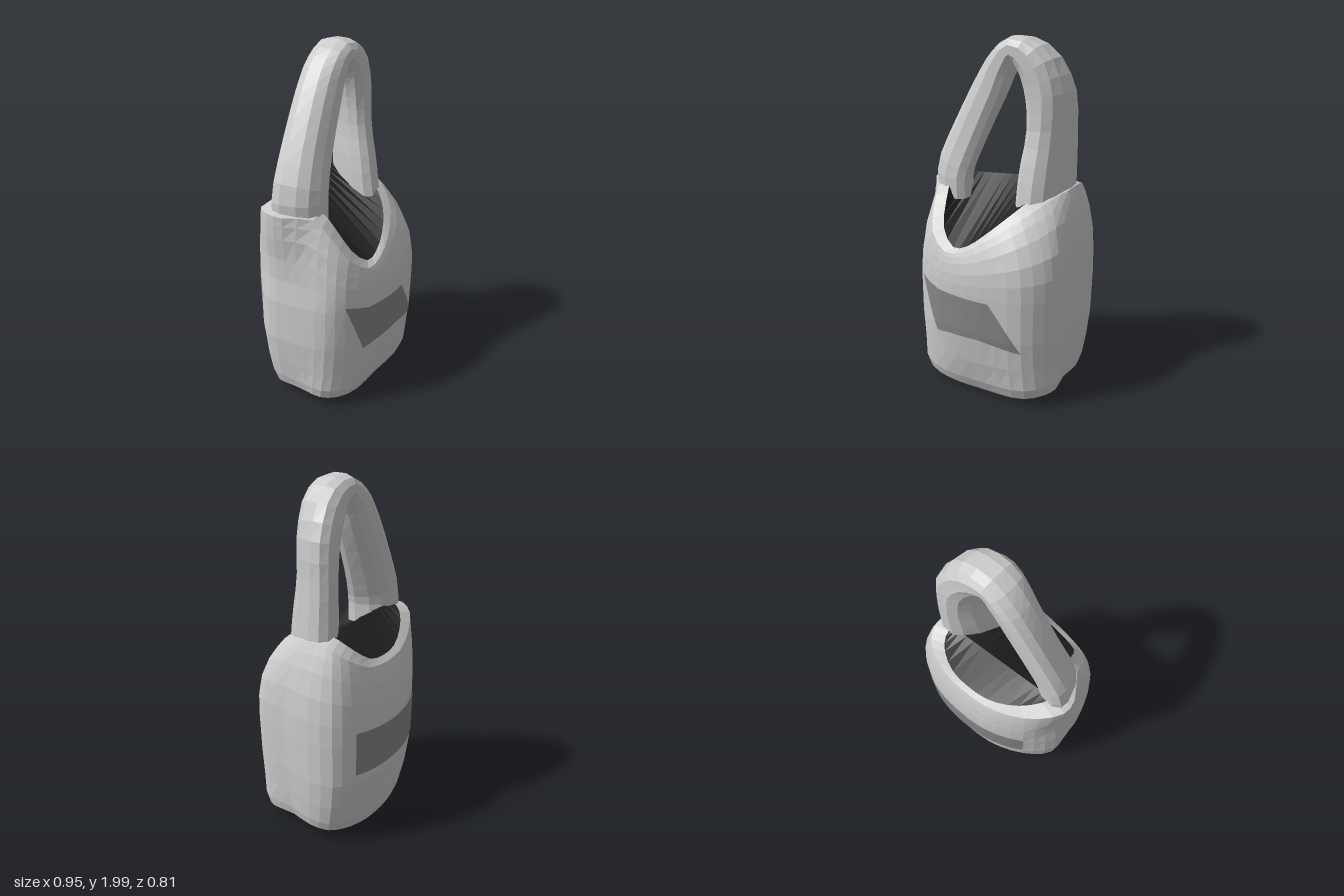
import * as THREE from 'three';

const { lerp, clamp } = THREE.MathUtils;
const V = (x, y, z) => new THREE.Vector3(x, y, z);

function makeMesh(name, points, index, color = 0xcccccc, side = THREE.FrontSide) {
  const geo = new THREE.BufferGeometry().setFromPoints(points);
  geo.setIndex(index);
  geo.computeVertexNormals();
  const mesh = new THREE.Mesh(geo, new THREE.MeshStandardMaterial({ color, flatShading: true, side }));
  mesh.name = name;
  return mesh;
}

// Joins rows of points into a skin; closed rows wrap around.
function loft(rows, closed) {
  const n = rows[0].length, index = [];
  for (let k = 0; k < rows.length - 1; k++) {
    for (let i = 0; i < (closed ? n : n - 1); i++) {
      const j = (i + 1) % n;
      const a = k * n + i, b = k * n + j, c = b + n, d = a + n;
      index.push(a, d, b, b, d, c);
    }
  }
  return { points: rows.flat(), index };
}

// Columns round the bag (left end, back, right end, front): belly x, z and rim x, y, z.
const columns = [
  [-0.48, -0.11, -0.47, 1.18, -0.09], [-0.4, -0.22, -0.39, 1.16, -0.2],
  [-0.28, -0.31, -0.26, 1.1, -0.28], [-0.12, -0.375, -0.11, 1.05, -0.33],
  [0.08, -0.4, 0.05, 1.04, -0.35], [0.22, -0.395, 0.2, 1.06, -0.35],
  [0.35, -0.36, 0.32, 1.13, -0.31], [0.44, -0.3, 0.375, 1.18, -0.25],
  [0.475, -0.16, 0.385, 1.2, -0.18], [0.455, 0.03, 0.375, 1.19, -0.05],
  [0.445, 0.2, 0.33, 1.16, 0.08], [0.4, 0.28, 0.27, 1.11, 0.18],
  [0.3, 0.36, 0.18, 1.04, 0.27], [0.15, 0.39, 0.06, 0.955, 0.33],
  [-0.02, 0.4, -0.06, 0.885, 0.355], [-0.2, 0.38, -0.17, 0.865, 0.355],
  [-0.34, 0.32, -0.285, 0.95, 0.305], [-0.42, 0.24, -0.33, 1.075, 0.215],
  [-0.455, 0.12, -0.36, 1.16, 0.13], [-0.475, 0, -0.46, 1.175, 0],
];
const COUNT = columns.length * 2;

// Lower levels: height, x scale, z scale, lift of the two ends, front corner bulge.
const levels = [
  [0.01, 0.82, 0.68, 0.04, 0.12], [0.04, 0.9, 0.76, 0.04, 0.11], [0.1, 0.935, 0.83, 0.04, 0.09],
  [0.24, 0.965, 0.92, 0.02, 0.03], [0.42, 0.99, 0.99, 0, 0], [0.66, 1, 1, 0, 0],
];

// Smooth closed ring through the column points
function ring(toPoint) {
  const curve = new THREE.CatmullRomCurve3(columns.map(toPoint), true);
  return Array.from({ length: COUNT }, (_, i) => curve.getPoint(i / COUNT));
}

function bodyRings() {
  const belly = ring(([x, z]) => V(x, 0.66, z));
  const rim = ring(([, , x, y, z]) => V(x, y, z));
  const rings = levels.map(([y, sx, sz, lift, bulge]) => belly.map(({ x, z }) => {
    const corner = z > 0 ? 1 + bulge * Math.sin(2 * Math.atan2(z, x)) ** 2 : 1;
    return V(x * sx * corner, y + lift * (x / 0.45) ** 2, z * sz * corner);
  }));
  for (const f of [0.25, 0.5, 0.75, 0.9, 1]) {
    rings.push(belly.map((p, i) => {
      const g = f ** 2.8, r = rim[i];
      return V(lerp(p.x, r.x, g), lerp(p.y, r.y, f), lerp(p.z, r.z, g));
    }));
  }
  // Slight waist on one end
  rings.flat().forEach((p) => {
    p.x += 0.035 * clamp((-0.36 - p.x) / 0.1, 0, 1) * Math.exp(-(((p.y - 0.85) / 0.2) ** 2));
  });
  return rings;
}

// Point on the bag's wall at a column position and height.
function onWall(rings, column, y) {
  const u = column * 2, i = Math.floor(u) % COUNT, j = (i + 1) % COUNT;
  const col = rings.map((r) => r[i].clone().lerp(r[j], u - Math.floor(u)));
  let k = 0;
  while (k < col.length - 2 && col[k + 1].y < y) k++;
  return col[k].clone().lerp(col[k + 1], (y - col[k].y) / (col[k + 1].y - col[k].y));
}

// Darker panel lying on the wall; each key is top column, top y, bottom column, bottom y.
function makePanel(name, rings, keys) {
  const rows = [];
  for (let r = 0; r <= 6; r++) {
    const row = [];
    for (let s = 0; s <= 24; s++) {
      const q = (s / 24) * (keys.length - 1);
      const k = Math.min(Math.floor(q), keys.length - 2);
      const [ut, yt, ub, yb] = keys[k].map((v, m) => lerp(v, keys[k + 1][m], q - k));
      const p = onWall(rings, lerp(ub, ut, r / 6), lerp(yb, yt, r / 6));
      const out = V(p.x, 0, p.z).setLength(0.005);
      row.push(p.add(out));
    }
    rows.push(row);
  }
  const { points, index } = loft(rows, false);
  return makeMesh(name, points, index, 0x888888, THREE.DoubleSide);
}

function makeHandle() {
  // Centre x, y, z, half width, half depth, and how far the front leans inward
  const keys = [
    [-0.31, 1.1, 0.01, 0.11, 0.125, 0.35], [-0.31, 1.25, 0.01, 0.115, 0.125, 0.35],
    [-0.225, 1.46, -0.01, 0.11, 0.115, 0.3], [-0.09, 1.73, -0.03, 0.1, 0.11, 0.2],
    [-0.02, 1.855, -0.035, 0.085, 0.11, 0.1], [0.06, 1.93, -0.035, 0.07, 0.11, 0],
    [0.175, 1.87, -0.045, 0.1, 0.12, 0.1], [0.25, 1.71, -0.06, 0.105, 0.13, 0.25],
    [0.265, 1.5, -0.06, 0.095, 0.14, 0.3], [0.257, 1.28, -0.035, 0.105, 0.165, 0.3],
    [0.255, 1.07, -0.015, 0.105, 0.18, 0.3],
  ];
  const path = new THREE.CatmullRomCurve3(keys.map((k) => V(k[0], k[1], k[2])));
  const size = new THREE.CatmullRomCurve3(keys.map((k) => V(k[3], k[4], k[5])), false, 'catmullrom');
  const squarish = (v) => Math.sign(v) * Math.abs(v) ** 0.8;
  const rows = [];
  for (let s = 0; s <= 24; s++) {
    const c = path.getPoint(s / 24), t = path.getTangent(s / 24), w = size.getPoint(s / 24);
    const n = V(t.y, -t.x, 0).normalize();
    const row = [];
    for (let i = 0; i < 12; i++) {
      const a = ((i + 0.5) / 12) * Math.PI * 2;
      const depth = w.y * squarish(Math.sin(a));
      const width = w.x * squarish(Math.cos(a)) + w.z * depth;
      row.push(c.clone().addScaledVector(n, width).add(V(0, 0, depth)));
    }
    rows.push(row);
  }
  const { points, index } = loft(rows, true);
  return makeMesh('handle', points, index, 0xcccccc, THREE.DoubleSide);
}

export function createModel() {
  const group = new THREE.Group();
  const rings = bodyRings();
  const rim = rings[rings.length - 1];

  // Wall with a closed base
  const wall = loft(rings, true);
  const centre = wall.points.length;
  wall.points.push(V(0, 0.005, 0));
  for (let i = 0; i < COUNT; i++) wall.index.push(centre, i, (i + 1) % COUNT);
  group.add(makeMesh('body', wall.points, wall.index));

  // Lip sloping in to the opening
  const inner = rim.map((p) => V(-0.02 + (p.x + 0.02) * 0.78, p.y + 0.025, p.z * 0.91));
  const lip = loft([rim, inner], true);
  group.add(makeMesh('rim', lip.points, lip.index));

  // Dark filling of the opening, folded along a ridge between the two ends
  const left = inner[0], right = inner[16];
  const ridge = inner.map((p) =>
    left.clone().lerp(right, clamp((p.x - left.x) / (right.x - left.x), 0, 1)));
  const fill = loft([inner, ridge], true);
  group.add(makeMesh('opening', fill.points, fill.index, 0x222222, THREE.DoubleSide));

  group.add(makePanel('frontPanel', rings, [
    [13.2, 0.635, 12, 0.36], [14, 0.64, 13.6, 0.405],
    [15, 0.65, 14.6, 0.4], [16, 0.69, 15.2, 0.385],
  ]));
  group.add(makePanel('backPanel', rings, [
    [1.5, 0.73, 1.5, 0.47], [3.7, 0.71, 3.7, 0.46], [5.8, 0.73, 5.8, 0.47],
  ]));
  group.add(makeHandle());
  return group;
}
